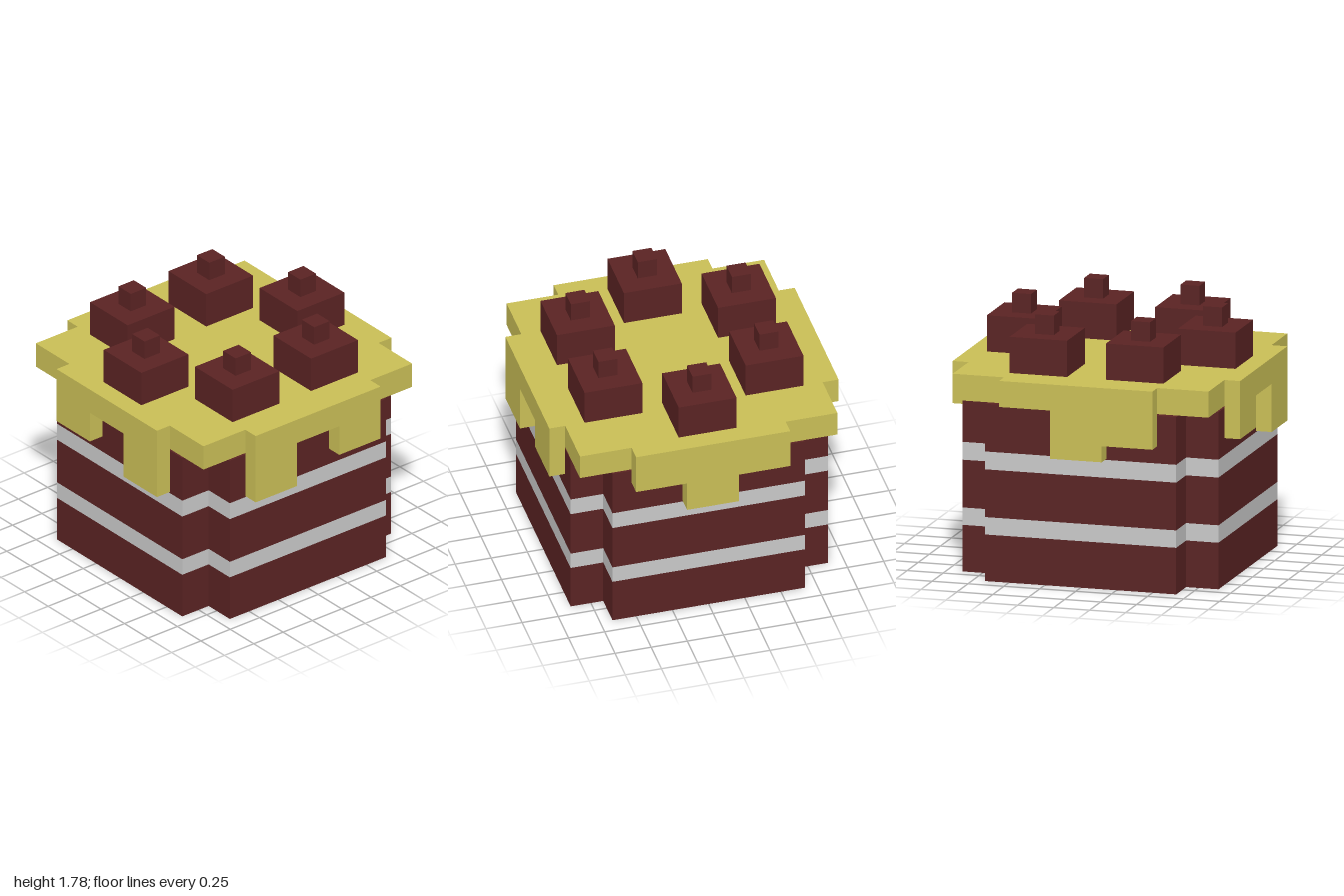
import * as THREE from 'three';

const material = (name, color) => {
  const m = new THREE.MeshStandardMaterial({ color });
  m.name = name;
  return m;
};

export function createModel() {
  const chocolate = material('chocolate', 0x5a2323);
  const cream = material('cream', 0xc9c9c9);
  const icing = material('yellow icing', 0xc9be56);

  const cake = new THREE.Group();
  cake.name = 'cake';

  const add = (parent, name, geometry, mat, x = 0, y = 0, z = 0) => {
    const mesh = new THREE.Mesh(geometry, mat);
    mesh.name = name;
    mesh.position.set(x, y, z);
    parent.add(mesh);
    return mesh;
  };
  const shapeOf = (points) => new THREE.Shape(points.map(([x, y]) => new THREE.Vector2(x, y)));
  const extrude = (shape, depth) => new THREE.ExtrudeGeometry(shape, { depth, bevelEnabled: false });

  // Square sponge with notched corners, in alternating layers
  const outer = 0.89, inner = 0.665;
  const quarter = [[outer, inner], [inner, inner], [inner, outer]];
  const outline = [];
  for (let i = 0; i < 4; i++) {
    for (const [px, py] of quarter) {
      let x = px, y = py;
      for (let k = 0; k < i; k++) [x, y] = [-y, x];
      outline.push([x, y]);
    }
  }
  const section = shapeOf(outline);
  const levels = [0, 0.318, 0.437, 0.763, 0.885, 1.21];
  for (let i = 0; i < levels.length - 1; i++) {
    const geometry = extrude(section, levels[i + 1] - levels[i]).rotateX(-Math.PI / 2);
    const isCream = i % 2 === 1;
    add(cake, isCream ? 'creamLayer' : 'spongeLayer', geometry, isCream ? cream : chocolate, 0, levels[i], 0);
  }

  // Icing slab
  const top = 1.4, under = 1.222;
  const icingGroup = new THREE.Group();
  icingGroup.name = 'icing';
  cake.add(icingGroup);
  add(icingGroup, 'icingSlab', new THREE.BoxGeometry(1.78, top - under, 1.78), icing, 0, (top + under) / 2, 0);

  // Dripping edge on each side: three stepped bottoms, left to right seen from outside
  const steps = [-0.533, -0.18, 0.18, 0.533];
  const drips = [
    ['frontDrips', 0, [0.893, under, 1.003]],
    ['leftDrips', Math.PI / 2, [1.112, 0.893, 1.112]],
    ['backDrips', Math.PI, [under, 0.893, 1.003]],
    ['rightDrips', -Math.PI / 2, [1.003, under, 0.893]],
  ];
  for (const [name, angle, bottoms] of drips) {
    const points = [[steps[3], top], [steps[0], top]];
    bottoms.forEach((y, i) => points.push([steps[i], y], [steps[i + 1], y]));
    const geometry = extrude(shapeOf(points), 0.11).translate(0, 0, outer);
    add(icingGroup, name, geometry, icing).rotation.y = angle;
  }

  // Six chocolates with a small knob, in a ring
  const spots = [[-0.665, 0], [0.665, 0]];
  for (const x of [-0.335, 0.335]) for (const z of [-0.557, 0.557]) spots.push([x, z]);
  const body = new THREE.BoxGeometry(0.4, 0.247, 0.4);
  const knob = new THREE.BoxGeometry(0.132, 0.133, 0.132);
  for (const [x, z] of spots) {
    const piece = new THREE.Group();
    piece.name = 'chocolatePiece';
    piece.position.set(x, top, z);
    add(piece, 'chocolateBody', body, chocolate, 0, 0.1235, 0);
    add(piece, 'chocolateKnob', knob, chocolate, 0, 0.3135, 0);
    cake.add(piece);
  }

  return cake;
}
